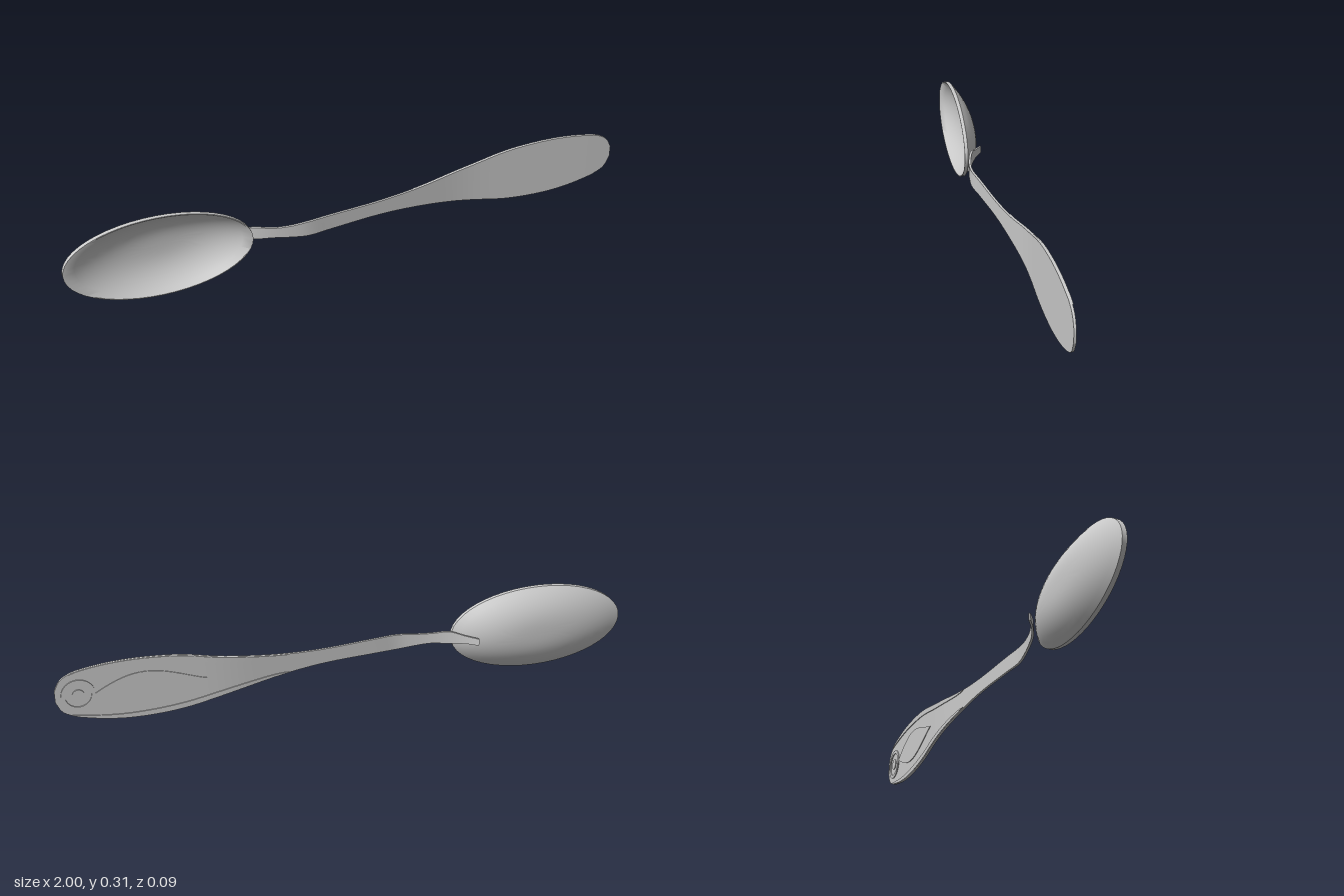
import * as THREE from 'three';
import { toCreasedNormals } from 'three/addons/utils/BufferGeometryUtils.js';

// Skin a list of closed cross-section rings, each an array of [x, y, z]
function loft(rings, crease) {
  const n = rings[0].length, index = [];
  for (let i = 0; i < rings.length - 1; i++) {
    for (let j = 0; j < n; j++) {
      const k = (j + 1) % n;
      const a = i * n + j, b = i * n + k, c = b + n, d = a + n;
      index.push(a, b, c, a, c, d);
    }
  }
  const geo = new THREE.BufferGeometry();
  geo.setAttribute('position', new THREE.Float32BufferAttribute(rings.flat(2), 3));
  geo.setIndex(index);
  return toCreasedNormals(geo, crease);
}

// Handle stations: x, lower edge, upper edge, depth of the centre plane
const stations = [
  [-0.45, 0.14, 0.165, -0.04], [-0.41, 0.14, 0.17, -0.014], [-0.36, 0.136, 0.182, 0.01],
  [-0.3, 0.138, 0.176, 0.028], [-0.24, 0.132, 0.176, 0.038], [-0.18, 0.126, 0.181, 0.042],
  [-0.1, 0.127, 0.182, 0.034], [0.1, 0.128, 0.182, 0.014], [0.25, 0.115, 0.193, -0.001],
  [0.38, 0.094, 0.213, -0.014], [0.46, 0.078, 0.227, -0.018], [0.58, 0.054, 0.252, -0.018],
  [0.7, 0.045, 0.262, -0.017], [0.8, 0.049, 0.261, -0.016], [0.9, 0.067, 0.249, -0.015],
  [0.95, 0.083, 0.236, -0.015], [0.985, 0.108, 0.21, -0.015], [1, 0.14, 0.18, -0.015],
];
const spline = new THREE.CubicInterpolant(
  stations.map(s => s[0]), stations.flatMap(s => s.slice(1)), 3, new Float32Array(3));
const handleAt = x => Array.from(spline.evaluate(x));

// A slab following the handle's bend; edges(x, lo, hi, u) gives its two edges
function slab(xs, back, front, edges) {
  const rings = xs.map((x, i) => {
    const [lo, hi, z] = handleAt(x);
    const [a, b] = edges(x, lo, hi, i / (xs.length - 1));
    return [[x, a, z + back], [x, b, z + back], [x, b, z + front], [x, a, z + front]];
  });
  const cap = r => {
    const c = [0, 1, 2].map(k => r.reduce((s, p) => s + p[k] / 4, 0));
    return r.map(() => c);
  };
  return loft([cap(rings[0]), ...rings, cap(rings[rings.length - 1])], 0.6);
}
const span = (a, b, n) => Array.from({ length: n + 1 }, (_, i) => a + (b - a) * i / n);

// Oval bowl, hollow towards the front, with a slightly tilted rim
function bowlGeometry() {
  const sides = 48, steps = 10, rings = [];
  const ring = (t, depth) => Array.from({ length: sides }, (_, j) => {
    const a = j / sides * Math.PI * 2;
    const x = -0.684 + 0.034 * (1 - t) + 0.316 * t * Math.cos(a);
    return [x, 0.155 + 0.155 * t * Math.sin(a), depth(x)];
  });
  const rimBack = x => 0.002 + (x + 1) * 0.03;
  const rimFront = x => 0.018 + (x + 1) * 0.024;
  const dish = (t, rim, floor) => x => rim(x) + (floor - rim(x)) * (1 - Math.pow(t, 2.6));
  for (let i = 0; i <= steps; i++) rings.push(ring(i / steps, dish(i / steps, rimBack, -0.048)));
  rings.push(ring(1, rimFront));
  for (let i = steps; i >= 0; i--) {
    const t = i / steps;
    rings.push(ring(t * 0.985, dish(t, rimFront, -0.041)));
  }
  return loft(rings, 0.6);
}

export function createModel() {
  const spoon = new THREE.Group();
  spoon.name = 'spoon';
  const steel = new THREE.MeshStandardMaterial({ color: 0xcccccc });
  steel.name = 'steel grey';
  const add = (name, geo) => {
    const mesh = new THREE.Mesh(geo, steel);
    mesh.name = name;
    spoon.add(mesh);
    return mesh;
  };

  add('bowl', bowlGeometry());

  // Handle, sampled between its stations
  const xs = stations.slice(0, -1).flatMap((s, i) => span(s[0], stations[i + 1][0], 4).slice(0, 4));
  xs.push(1);
  add('handle', slab(xs, -0.004, 0.004, (x, lo, hi) => [lo, hi]));

  // Raised border along both edges of the back, tapering at each end
  const width = u => 0.002 + 0.018 * Math.pow(Math.sin(Math.PI * u), 0.6);
  const borderXs = span(0.22, 0.95, 30);
  add('lowerBorder', slab(borderXs, -0.007, -0.003, (x, lo, hi, u) => [lo + 0.001, lo + 0.001 + width(u)]));
  add('upperBorder', slab(borderXs, -0.007, -0.003, (x, lo, hi, u) => [hi - 0.001 - width(u), hi - 0.001]));

  // Pointed petal on the back
  add('petal', slab(span(0.5, 0.87, 20), -0.0065, -0.003, (x, lo, hi, u) => {
    const half = 0.001 + 0.056 * Math.sin(Math.PI * Math.pow(u, 1.2));
    return [0.155 - half, 0.155 + half];
  }));

  // Round medallion near the tip: a ring and a central boss
  const disc = new THREE.Shape().absarc(0, 0, 0.056, 0, Math.PI * 2);
  disc.holes.push(new THREE.Path().absarc(0, 0, 0.043, 0, Math.PI * 2, true));
  const ring = add('medallionRing', new THREE.ExtrudeGeometry(disc, { depth: 0.006, bevelEnabled: false, curveSegments: 32 }));
  ring.position.set(0.925, 0.157, -0.0225);
  const boss = add('medallionBoss', new THREE.CylinderGeometry(0.02, 0.02, 0.005, 24));
  boss.rotation.x = Math.PI / 2;
  boss.position.set(0.925, 0.157, -0.0195);

  return spoon;
}
